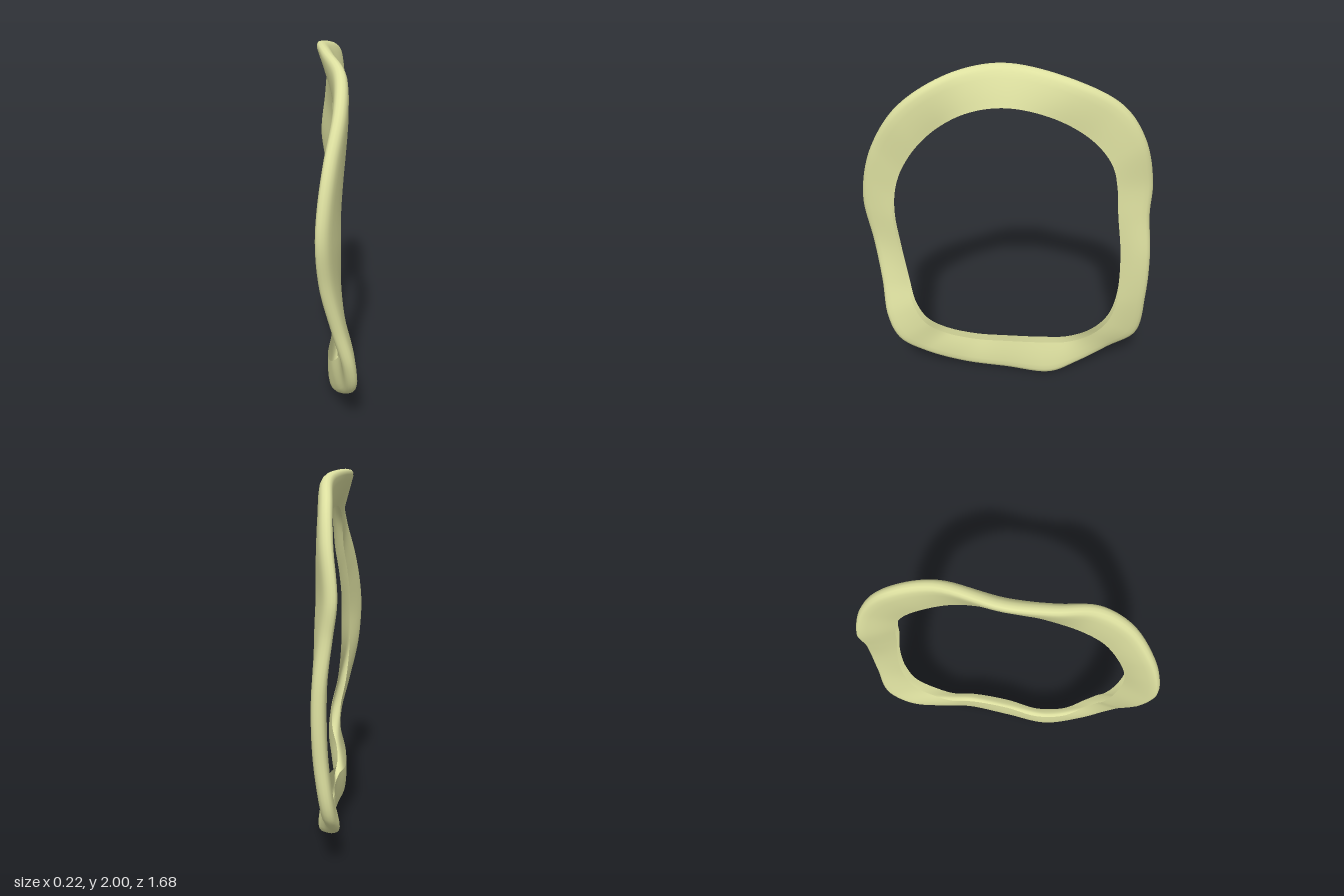
import * as THREE from 'three';

// Stations round the ring: outer rim z, y, x, then inner rim z, y, x
const STATIONS = [
  [0, 2.0, -0.08, 0, 1.8, 0.01],
  [0.22, 1.98, -0.05, 0.2, 1.77, 0.01],
  [0.42, 1.91, 0.02, 0.36, 1.69, 0.02],
  [0.6, 1.77, 0.02, 0.49, 1.57, 0.025],
  [0.75, 1.54, -0.03, 0.59, 1.41, 0.01],
  [0.82, 1.34, -0.06, 0.64, 1.27, 0],
  [0.84, 1.17, -0.07, 0.655, 1.12, 0],
  [0.8, 0.93, -0.05, 0.635, 0.9, 0],
  [0.76, 0.68, 0.01, 0.6, 0.68, 0.02],
  [0.735, 0.45, 0.07, 0.565, 0.52, 0.05],
  [0.67, 0.29, 0.085, 0.5, 0.39, 0.045],
  [0.52, 0.16, 0.05, 0.38, 0.28, 0],
  [0.28, 0.04, 0, 0.2, 0.225, -0.02],
  [0, 0.02, 0.015, 0, 0.235, 0],
  [-0.28, 0.005, 0.03, -0.24, 0.235, 0],
  [-0.45, 0.06, -0.015, -0.38, 0.23, -0.02],
  [-0.66, 0.16, -0.075, -0.52, 0.29, -0.02],
  [-0.81, 0.28, -0.065, -0.62, 0.4, -0.02],
  [-0.84, 0.6, -0.025, -0.668, 0.58, -0.01],
  [-0.835, 0.9, -0.02, -0.667, 0.87, -0.005],
  [-0.81, 1.15, -0.055, -0.63, 1.15, 0],
  [-0.812, 1.33, -0.08, -0.61, 1.33, -0.005],
  [-0.745, 1.6, -0.05, -0.565, 1.49, 0],
  [-0.61, 1.8, -0.03, -0.45, 1.63, 0.005],
  [-0.35, 1.94, -0.01, -0.25, 1.75, 0.02],
];

const rim = (k) => new THREE.CatmullRomCurve3(
  STATIONS.map((s) => new THREE.Vector3(s[k + 2], s[k + 1], s[k])), true);

// Sweep a section of [share from inner to outer rim, sideways offset] round the ring
function sweep(section, steps = 200) {
  const outer = rim(0), inner = rim(3);
  const n = section.length, positions = [], index = [];
  for (let i = 0; i < steps; i++) {
    const a = inner.getPoint(i / steps), b = outer.getPoint(i / steps);
    for (const [u, v] of section) {
      const p = a.clone().lerp(b, u);
      positions.push(p.x + v, p.y, p.z);
    }
    const next = (i + 1) % steps;
    for (let j = 0; j < n - 1; j++) {
      const p = i * n + j, q = next * n + j;
      index.push(p, p + 1, q, p + 1, q + 1, q);
    }
  }
  const geometry = new THREE.BufferGeometry();
  geometry.setAttribute('position', new THREE.Float32BufferAttribute(positions, 3));
  geometry.setIndex(index);
  geometry.computeVertexNormals();
  return geometry;
}

export function createModel() {
  const group = new THREE.Group();
  group.name = 'wavyRing';

  // Folded band: two broad faces, a rounded outer edge, open along the inner rim
  const half = [[0, 0.028], [0.2, 0.033], [0.45, 0.037], [0.7, 0.037], [0.85, 0.034], [0.93, 0.027], [0.98, 0.016]];
  const mirrored = half.map(([u, v]) => [u, -v]).reverse();
  const band = new THREE.Mesh(
    sweep([...half, [1, 0], ...mirrored]),
    new THREE.MeshStandardMaterial({ color: 0xdde0a0, side: THREE.DoubleSide }));
  band.name = 'band';
  group.add(band);
  return group;
}
